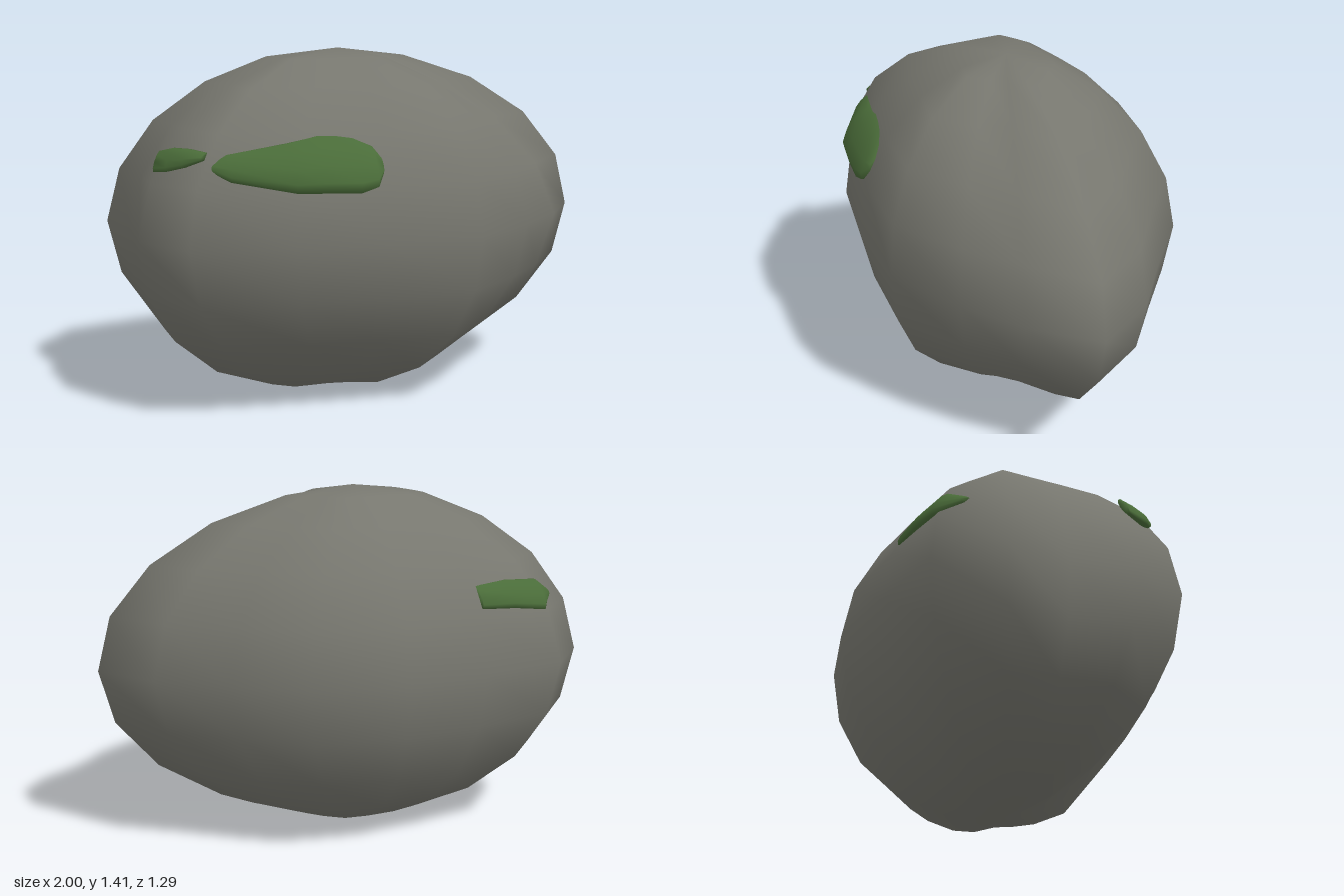
import * as THREE from 'three';
import { mergeVertices } from 'three/addons/utils/BufferGeometryUtils.js';

const POLE_X = -0.08, MID_Y = 0.705;

// Widest outline of the stone [x, z], from its blunt -x end round by the front
const OUTLINE = [
  [-0.95, 0], [-0.97, 0.25], [-0.83, 0.5], [-0.45, 0.61],
  [-0.08, 0.64], [0.3, 0.61], [0.59, 0.42], [0.81, 0.24],
  [0.995, 0], [0.82, -0.24], [0.56, -0.41], [0.3, -0.6],
  [-0.08, -0.65], [-0.44, -0.57], [-0.81, -0.48], [-1, -0.25],
];

// Swell or dent of each column of the outline, in the upper and the lower half
const UPPER = [0.95, 0.9, 0.97, 0.94, 0.96, 1.05, 0.95, 0.8, 1.03, 1, 0.97, 0.95, 0.9, 0.9, 0.88, 0.93];
const LOWER = [1.08, 1.04, 0.95, 0.82, 0.86, 1.05, 0.97, 0.87, 1, 1, 1.04, 1, 0.96, 1, 0.95, 0.95];
// How strongly it acts on each ring, from the pole to the middle
const STRENGTH = [0, 1.3, 1, 0.5, 0.2, 0];

// Smooth, indexed geometry with shared seam vertices
function smooth(geometry) {
  geometry.deleteAttribute('uv');
  geometry.deleteAttribute('normal');
  const merged = mergeVertices(geometry, 1e-4);
  merged.computeVertexNormals();
  return merged;
}

// Sphere whose rings follow the outline, with uneven swells and dents
function stoneGeometry() {
  const geometry = new THREE.SphereGeometry(1, 16, 10);
  const p = geometry.attributes.position;
  for (let i = 0; i < p.count; i++) {
    const side = (i % 17) % 16, ring = Math.floor(i / 17);
    const [x, z] = OUTLINE[side];
    const r = Math.abs(Math.sin((ring / 10) * Math.PI));
    const swell = (ring < 5 ? UPPER : LOWER)[side] - 1;
    const scale = 1 + swell * STRENGTH[Math.min(ring, 10 - ring)];
    const rx = Math.pow(r, x > POLE_X ? 1.15 : 0.92);
    p.setXYZ(i, POLE_X + (x - POLE_X) * rx * scale, MID_Y + p.getY(i) * MID_Y, z * r * scale);
  }
  return smooth(geometry);
}

// Moss pad: oval sections at stations [x, y, z, half height, depth], bulging along (nx, nz)
// and leaning back with the stone
function mossGeometry(stations, nx, nz, lean) {
  const SIDES = 10, pos = [], index = [];
  for (const [x, y, z, h, d] of stations) {
    for (let j = 0; j < SIDES; j++) {
      const a = (j / SIDES) * Math.PI * 2;
      const out = d * Math.cos(a) - lean * h * Math.sin(a);
      pos.push(x + nx * out, y + h * Math.sin(a), z + nz * out);
    }
  }
  for (let i = 0; i < stations.length - 1; i++) {
    for (let j = 0; j < SIDES; j++) {
      const a = i * SIDES + j, b = i * SIDES + ((j + 1) % SIDES);
      index.push(a, a + SIDES, b, b, a + SIDES, b + SIDES);
    }
  }
  const last = (stations.length - 1) * SIDES;
  for (let j = 1; j < SIDES - 1; j++) {
    index.push(0, j, j + 1, last, last + j + 1, last + j);
  }
  const geometry = new THREE.BufferGeometry();
  geometry.setAttribute('position', new THREE.Float32BufferAttribute(pos, 3));
  geometry.setIndex(index);
  geometry.computeVertexNormals();
  return geometry;
}

export function createModel() {
  const group = new THREE.Group();
  const stoneMaterial = new THREE.MeshStandardMaterial({ color: 0x77776f });
  const mossMaterial = new THREE.MeshStandardMaterial({ color: 0x4a6c39, side: THREE.DoubleSide });

  const add = (name, geometry, material) => {
    const mesh = new THREE.Mesh(geometry, material);
    mesh.name = name;
    group.add(mesh);
  };

  add('stone', stoneGeometry(), stoneMaterial);

  // Long pad on the front
  add('frontMoss', mossGeometry([
    [-0.73, 1.0, 0.44, 0.015, 0.01],
    [-0.67, 1.0, 0.465, 0.05, 0.03],
    [-0.45, 1.0, 0.53, 0.09, 0.06],
    [-0.33, 1.01, 0.535, 0.105, 0.06],
    [-0.2, 1.005, 0.54, 0.105, 0.055],
    [-0.13, 1.0, 0.55, 0.08, 0.04],
    [-0.1, 1.0, 0.555, 0.03, 0.02],
  ], 0, 1, 0.6), mossMaterial);

  // Small pad on the front corner
  add('cornerMoss', mossGeometry([
    [-0.89, 1.01, 0.25, 0.04, 0.015],
    [-0.85, 1.02, 0.3, 0.045, 0.02],
    [-0.8, 1.03, 0.36, 0.035, 0.025],
    [-0.745, 1.04, 0.41, 0.015, 0.02],
  ], -0.8, 0.6, 0.5), mossMaterial);

  // Narrow pad on the back
  add('backMoss', mossGeometry([
    [-0.43, 1.0, -0.48, 0.045, 0.025],
    [-0.58, 1.0, -0.45, 0.055, 0.03],
    [-0.73, 0.985, -0.42, 0.06, 0.03],
    [-0.8, 0.98, -0.35, 0.015, 0.02],
  ], -0.25, -0.97, 0.6), mossMaterial);

  return group;
}
